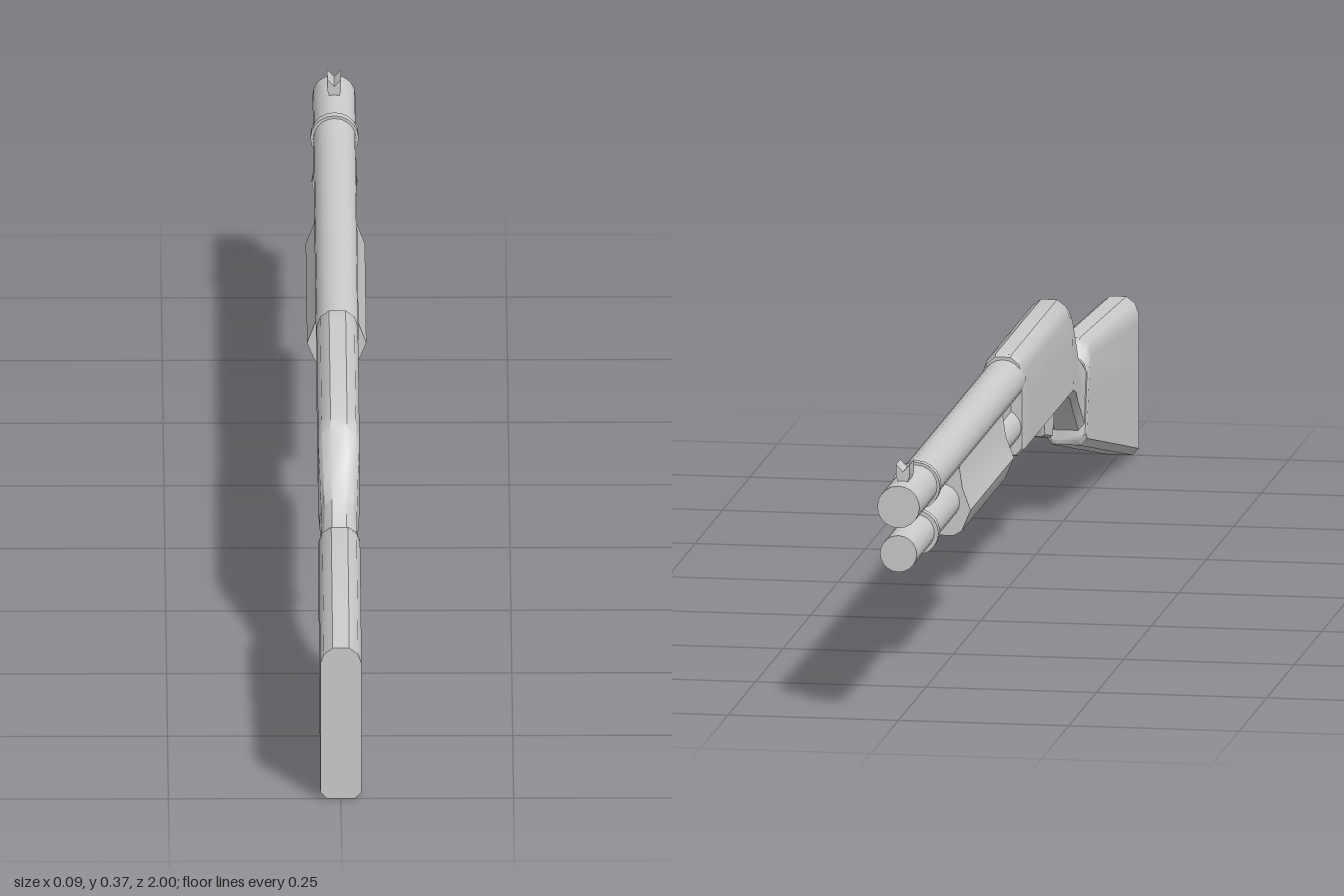
import * as THREE from 'three';
import { toCreasedNormals } from 'three/addons/utils/BufferGeometryUtils.js';

const material = new THREE.MeshStandardMaterial({ color: 0xcccccc });

// Skin a list of closed rings (counter-clockwise seen from +z, running towards -z) and cap both ends.
function loft(rings, crease) {
  const pos = [];
  const tri = (a, b, c) => {
    const n = new THREE.Vector3().crossVectors(b.clone().sub(a), c.clone().sub(a));
    if (n.length() > 1e-9) pos.push(...a, ...b, ...c);
  };
  const n = rings[0].length;
  for (let i = 0; i < rings.length - 1; i++) {
    for (let j = 0; j < n; j++) {
      const k = (j + 1) % n;
      const a = rings[i][j], b = rings[i][k], c = rings[i + 1][j], d = rings[i + 1][k];
      tri(a, c, b);
      tri(b, c, d);
    }
  }
  const first = rings[0], last = rings[rings.length - 1];
  for (let j = 1; j < n - 1; j++) {
    tri(first[0], first[j], first[j + 1]);
    tri(last[0], last[j + 1], last[j]);
  }
  const geo = new THREE.BufferGeometry();
  geo.setAttribute('position', new THREE.Float32BufferAttribute(pos, 3));
  return toCreasedNormals(geo, crease);
}

// Body cross-section: chamfered below, rounded above; port and slot are the depths of the two recesses.
function section({ zb, yb, zt = zb, yt, w = 0.03, cb = 0.01, ct = 0.025, p0 = 0.54, port = 0, slot = 0 }) {
  const h = yt - yb;
  const half = (d) => [
    [0.45 * w, yb + slot], [0.45 * w, yb], [0.67 * w, yb], [w, yb + cb],
    [w, yb + h * p0], [w - d, yb + h * p0], [w - d, yb + h * 0.83], [w, yb + h * 0.83],
    [w, yt - ct], [0.83 * w, yt - 0.4 * ct], [0.4 * w, yt],
  ];
  const points = [...half(port), ...half(0).reverse().map(([x, y]) => [-x, y])];
  return points.map(([x, y]) =>
    new THREE.Vector3(x, y, THREE.MathUtils.lerp(zb, zt, (y - yb) / h)));
}

// Straight prism along z from an [x, y] outline.
function prism(outline, z0, z1, crease) {
  return loft([z0, z1].map((z) => outline.map(([x, y]) => new THREE.Vector3(x, y, z))), crease);
}

function rod(radius, y, z0, z1) {
  const geo = new THREE.CylinderGeometry(radius, radius, z0 - z1, 20);
  return geo.rotateX(Math.PI / 2).translate(0, y, (z0 + z1) / 2);
}

export function createModel() {
  const group = new THREE.Group();
  const add = (name, geometry) => {
    const mesh = new THREE.Mesh(geometry, material);
    mesh.name = name;
    group.add(mesh);
  };

  // Shoulder stock
  add('stock', loft([
    { zb: 1, yb: 0.003, yt: 0.237 },
    { zb: 0.527, yb: 0.11, zt: 0.58, yt: 0.259 },
    { zb: 0.524, yb: 0.113, zt: 0.565, yt: 0.256 },
    { zb: 0.522, yb: 0.118, zt: 0.547, yt: 0.238, w: 0.028 },
  ].map(section), 0.6));

  // Grip and receiver, with the ejection port on the +x side and the loading slot below
  const box = { yb: 0.206, yt: 0.356 };
  const cut = { ...box, port: 0.01, slot: 0.02 };
  add('receiver', loft([
    { zb: 0.53, yb: 0.125, zt: 0.555, yt: 0.234, w: 0.027 },
    { zb: 0.522, yb: 0.137, zt: 0.54, yt: 0.237, w: 0.026 },
    { zb: 0.47, yb: 0.177, zt: 0.476, yt: 0.265, w: 0.026 },
    { zb: 0.444, yb: 0.195, zt: 0.43, yt: 0.311, w: 0.028 },
    { zb: 0.406, yb: 0.206, zt: 0.396, yt: 0.345 },
    { zb: 0.37, ...box },
    { zb: 0.15, ...box, p0: 0.6 },
    { zb: 0.15, ...cut, p0: 0.6 },
    { zb: 0.135, ...cut },
    { zb: 0.01, ...cut },
    { zb: -0.005, ...cut, p0: 0.6 },
    { zb: -0.005, ...box, p0: 0.6 },
    { zb: -0.042, ...box },
    { zb: -0.05, yb: 0.209, yt: 0.353, w: 0.028 },
  ].map(section), 0.6));

  // Trigger: a small side profile extruded across x
  const blade = new THREE.Shape([
    [0.345, 0.21], [0.346, 0.185], [0.328, 0.16], [0.255, 0.176], [0.243, 0.21],
  ].map(([z, y]) => new THREE.Vector2(-z, y)));
  const trigger = new THREE.ExtrudeGeometry(blade, {
    depth: 0.016, bevelThickness: 0.004, bevelSize: 0.003, bevelOffset: -0.003, bevelSegments: 1,
  });
  add('trigger', trigger.translate(0, 0, -0.008).rotateY(Math.PI / 2));

  // Barrel over magazine tube, joined behind the pump
  add('barrel', rod(0.031, 0.318, -0.03, -1));
  add('magazineTube', rod(0.027, 0.249, -0.03, -1));
  add('barrelBridge', new THREE.BoxGeometry(0.024, 0.04, 0.2).translate(0, 0.282, -0.14));
  add('barrelBand', rod(0.035, 0.318, -0.826, -0.84));
  add('magazineBand', rod(0.033, 0.249, -0.826, -0.84));

  // Pump handle with bulging sides
  const side = [[0.018, 0.2], [0.03, 0.207], [0.043, 0.238], [0.031, 0.27], [0.026, 0.304]];
  add('pumpHandle', prism(
    [...side, ...[...side].reverse().map(([x, y]) => [-x, y])], -0.215, -0.61, 0.7));

  // Notched front sight
  add('frontSight', prism([
    [0, 0.362], [-0.01, 0.373], [-0.01, 0.356], [-0.005, 0.34], [0.005, 0.34], [0.01, 0.356], [0.01, 0.373],
  ], -0.92, -0.96, 0.4));

  return group;
}
